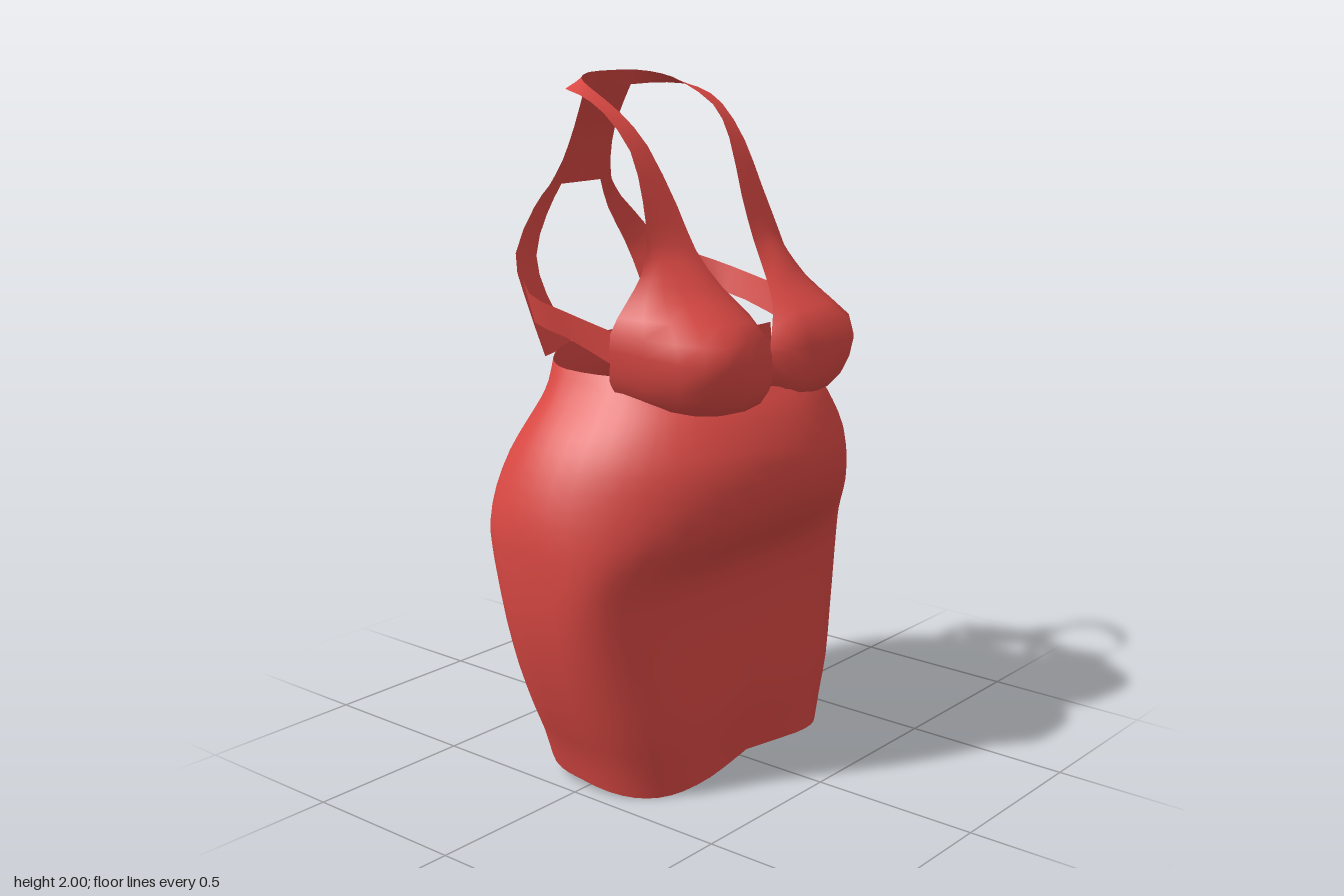
import * as THREE from 'three';

const red = new THREE.MeshStandardMaterial({ color: 0xd94843, side: THREE.DoubleSide });
red.name = 'red fabric';

// Smooth surface through rows of points; columns run to the left of the model
function loft(rows, name, side = 1) {
  const n = rows[0].length, pos = [], idx = [];
  for (const row of rows) for (const p of row) pos.push(p[0] * side, p[1], p[2]);
  for (let i = 0; i < rows.length - 1; i++) {
    for (let j = 0; j < n - 1; j++) {
      const a = i * n + j, b = a + 1, c = a + n, d = c + 1;
      if (side > 0) idx.push(a, b, c, b, d, c);
      else idx.push(a, c, b, b, c, d);
    }
  }
  const geo = new THREE.BufferGeometry();
  geo.setAttribute('position', new THREE.Float32BufferAttribute(pos, 3));
  geo.setIndex(idx);
  geo.computeVertexNormals();
  const mesh = new THREE.Mesh(geo, red);
  mesh.name = name;
  return mesh;
}

// Doubles the number of points along a line with a spline
function refine(pts) {
  const curve = new THREE.CatmullRomCurve3(pts.map(p => new THREE.Vector3(...p)), false, 'catmullrom', 0.5);
  return curve.getPoints((pts.length - 1) * 2).map(v => v.toArray());
}
const transpose = m => m[0].map((_, j) => m.map(r => r[j]));
const refineRows = rows => transpose(transpose(rows).map(refine));

// Spreads a pair of strap edges into five points
function band(a, b) {
  return [0, 0.25, 0.5, 0.75, 1].map(t => a.map((v, k) => v + (b[k] - v) * t));
}

function skirtBody() {
  // height, half width, front z, back z, squareness of front and back
  const sections = [
    [0, 0.46, 0.27, -0.33, 3.4, 1.9], [0.1, 0.487, 0.273, -0.332, 3.4, 2],
    [0.2, 0.525, 0.275, -0.335, 3.3, 2.1], [0.35, 0.57, 0.255, -0.345, 3.4, 2.25],
    [0.5, 0.602, 0.24, -0.36, 3.5, 2.4], [0.62, 0.612, 0.245, -0.385, 3.5, 2.5],
    [0.7, 0.613, 0.3, -0.4, 2.8, 2.6], [0.77, 0.612, 0.375, -0.41, 2.2, 2.6],
    [0.86, 0.595, 0.425, -0.395, 1.95, 2.6], [0.96, 0.555, 0.43, -0.37, 1.95, 2.5],
    [1.04, 0.505, 0.395, -0.33, 2.05, 2.5], [1.1, 0.455, 0.355, -0.3, 2.2, 2.6],
    [1.15, 0.415, 0.305, -0.285, 2.3, 2.8], [1.2, 0.385, 0.22, -0.28, 2.4, 3],
  ];
  const seg = 48, zc = -0.06;
  const rows = sections.map(([y, w, zf, zb, nf, nb], i) => {
    const row = [];
    for (let j = 0; j <= seg; j++) {
      const t = (j / seg) * Math.PI * 2 - Math.PI;
      const s = Math.sin(t), c = Math.cos(t);
      const e = 2 / (c > 0 ? nf : nb);
      const x = Math.sign(s) * w * Math.abs(s) ** e;
      let z = zc + Math.sign(c) * Math.abs(c) ** e * (c > 0 ? zf - zc : zc - zb);
      let yy = y;
      // hem climbs to the back and arches a little at the front
      const hem = 0.08 * Math.max(0, (0.27 - z) / 0.6) ** 1.5 + (c > 0 ? 0.03 * c ** 8 : 0);
      yy += hem * Math.max(0, 1 - y / 0.4);
      // shallow hollow between the thighs
      if (c > 0) z -= 0.04 * Math.exp(-((x / 0.13) ** 2)) * Math.max(0, 1 - y / 0.4);
      // upper edge rises slightly at the front and back
      if (i === sections.length - 1) yy += c > 0 ? 0.03 * c ** 4 : 0.04 * c * c;
      row.push([x, yy, z]);
    }
    return row;
  });
  return loft(refineRows(rows), 'skirtBody');
}

// Cup running up into the halter strap around the neck
const cupRows = [
  [[0, 1.13, 0.3], [0.1, 1.1, 0.27], [0.22, 1.09, 0.22], [0.32, 1.105, 0.15], [0.385, 1.155, 0.07]],
  [[0, 1.17, 0.315], [0.1, 1.12, 0.345], [0.24, 1.11, 0.33], [0.34, 1.13, 0.25], [0.4, 1.19, 0.06]],
  [[0, 1.215, 0.31], [0.1, 1.2, 0.37], [0.28, 1.2, 0.377], [0.37, 1.21, 0.28], [0.41, 1.24, 0.07]],
  [[0.003, 1.26, 0.3], [0.1, 1.31, 0.355], [0.28, 1.305, 0.375], [0.37, 1.315, 0.27], [0.418, 1.33, 0.08]],
  [[0.055, 1.355, 0.27], [0.12, 1.38, 0.28], [0.22, 1.4, 0.26], [0.32, 1.41, 0.19], [0.375, 1.41, 0.1]],
  [[0.1, 1.43, 0.21], [0.15, 1.46, 0.2], [0.21, 1.48, 0.18], [0.28, 1.485, 0.15], [0.325, 1.48, 0.11]],
  band([0.13, 1.53, 0.14], [0.29, 1.56, 0.1]),
  band([0.145, 1.65, 0.085], [0.265, 1.67, 0.065]),
  band([0.18, 1.81, 0.01], [0.252, 1.8, 0.01]),
  band([0.205, 1.9, -0.07], [0.26, 1.9, -0.08]),
  band([0.2, 1.96, -0.18], [0.258, 1.945, -0.17]),
  band([0.175, 1.985, -0.24], [0.22, 1.957, -0.26]),
  band([0.1, 1.998, -0.28], [0.1, 1.955, -0.295]),
  band([0, 2, -0.285], [0, 1.95, -0.31]),
];

// Small bridge joining the cups in the middle
const bridgeRows = [
  [[-0.03, 1.24, 0.285], [0.03, 1.24, 0.285]],
  [[-0.04, 1.32, 0.272], [0.04, 1.32, 0.272]],
];

// Panel below the nape
const panelRows = [
  [[0, 1.96, -0.305], [0.1, 1.96, -0.295]],
  [[0, 1.84, -0.37], [0.09, 1.84, -0.35]],
  [[0, 1.74, -0.4], [0.105, 1.74, -0.385]],
  [[0, 1.67, -0.41], [0.135, 1.67, -0.41]],
];

// Strap from the panel down to the upper edge at the back
const backStrapRows = [
  [[0.085, 1.67, -0.41], [0.135, 1.67, -0.41]],
  [[0.135, 1.58, -0.425], [0.19, 1.61, -0.42]],
  [[0.195, 1.47, -0.41], [0.3, 1.49, -0.39]],
  [[0.205, 1.36, -0.36], [0.325, 1.38, -0.335]],
  [[0.18, 1.22, -0.283], [0.325, 1.21, -0.255]],
];

// Strap from the back strap forward to the cup
const sideStrapRows = [
  [[0.29, 1.36, -0.335], [0.3, 1.465, -0.38]],
  [[0.39, 1.32, -0.23], [0.41, 1.405, -0.23]],
  [[0.4, 1.295, -0.1], [0.42, 1.375, -0.1]],
  [[0.4, 1.24, 0.07], [0.415, 1.335, 0.085]],
];

export function createModel() {
  const model = new THREE.Group();
  model.name = 'halterDress';
  model.add(skirtBody(), loft(bridgeRows, 'cupBridge'));

  const cup = refineRows(cupRows).map(refine);
  for (const [side, word] of [[1, 'left'], [-1, 'right']]) {
    model.add(
      loft(cup, word + 'CupAndNeckStrap', side),
      loft(refineRows(panelRows), word + 'NapePanel', side),
      loft(refineRows(backStrapRows), word + 'BackStrap', side),
      loft(refineRows(sideStrapRows), word + 'SideStrap', side),
    );
  }
  return model;
}
